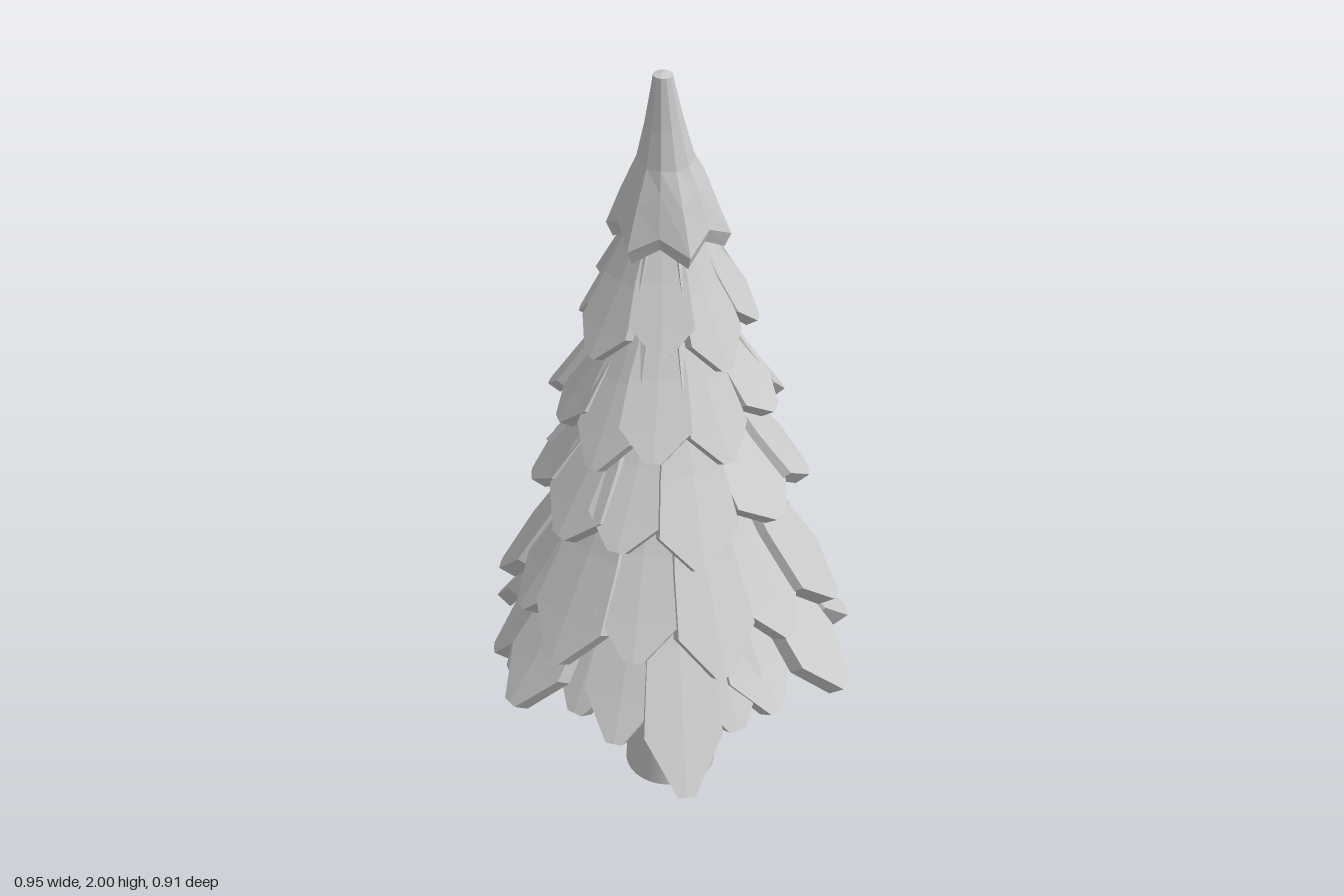
import * as THREE from 'three';

const flat = new THREE.MeshStandardMaterial({ color: 0xcccccc, flatShading: true, side: THREE.DoubleSide });
const smooth = new THREE.MeshStandardMaterial({ color: 0xcccccc, side: THREE.DoubleSide });

// Small seeded generator, returns -1..1
let seed = 7;
function jitter() {
  seed = (seed * 16807) % 2147483647;
  return (seed / 2147483647) * 2 - 1;
}

// Outline of one leaf: [position along the leaf, share of full half width]
const OUTLINE = [[0, 0.42], [0.45, 0.8], [0.78, 1], [1, 0.22]];

// Thick, slightly folded leaf that runs from (r0, y0) down and out to (r1, y1)
function leafGeometry({ angle, r0, y0, r1, y1, width, thick, skew }) {
  const R = new THREE.Vector3(Math.sin(angle), 0, Math.cos(angle));
  const T = new THREE.Vector3(Math.cos(angle), 0, -Math.sin(angle));
  const len = Math.hypot(r1 - r0, y1 - y0);
  const nr = (y0 - y1) / len, ny = (r1 - r0) / len;
  const pos = [], index = [];
  OUTLINE.forEach(([s, share]) => {
    const w = width * share, shift = skew * s * s;
    const r = r0 + (r1 - r0) * Math.pow(s, 1.1), y = y0 + (y1 - y0) * s;
    const t = thick * (0.5 + 0.5 * s);
    // loop: outer left, middle, right, then inner right, middle, left
    for (const [u, d] of [[-1, 0], [0, 0], [1, 0], [1, 1], [0, 1], [-1, 1]]) {
      const depth = -d * t - Math.abs(u) * w * 0.06;
      const p = R.clone().multiplyScalar(r + nr * depth).addScaledVector(T, u * w + shift);
      pos.push(p.x, y + ny * depth, p.z);
    }
  });
  const last = (OUTLINE.length - 1) * 6;
  for (let i = 0; i < last; i += 6) {
    for (let j = 0; j < 6; j++) {
      const k = (j + 1) % 6;
      index.push(i + 6 + j, i + 6 + k, i + k, i + 6 + j, i + k, i + j);
    }
  }
  for (const [a, b, c, d] of [[0, 1, 4, 5], [1, 2, 3, 4]]) {
    index.push(a, b, c, a, c, d);
    index.push(last + a, last + c, last + b, last + a, last + d, last + c);
  }
  const g = new THREE.BufferGeometry();
  g.setAttribute('position', new THREE.Float32BufferAttribute(pos, 3));
  g.setIndex(index);
  const out = g.toNonIndexed();
  out.computeVertexNormals();
  return out;
}

function addLeaf(group, spec) {
  const mesh = new THREE.Mesh(leafGeometry(spec), flat);
  mesh.name = 'leaf';
  group.add(mesh);
}

// Tip positions of the bottom tier: [x, z, y]
const BOTTOM_TIPS = [
  [-0.105, 0.455, 0.42], [0.03, 0.39, 0.43], [0.165, 0.385, 0.4], [0.37, 0.355, 0.33],
  [0.37, 0.18, 0.42], [0.41, 0.07, 0.43], [0.47, -0.13, 0.42], [0.295, -0.36, 0.41],
  [0.19, -0.385, 0.4], [0.05, -0.455, 0.43], [-0.1, -0.43, 0.4], [-0.2, -0.4, 0.42],
  [-0.36, -0.33, 0.41], [-0.42, -0.17, 0.42], [-0.475, 0.1, 0.36], [-0.32, 0.29, 0.38],
  [-0.2, 0.365, 0.42],
];

// Upper tiers, from low to high
const TIERS = [
  { name: 'secondTier', n: 12, start: 0, r0: 0.16, y0: 1.02, r1: 0.412, y1: 0.59, width: 0.098, thick: 0.045 },
  { name: 'thirdTier', n: 10, start: -0.2, r0: 0.125, y0: 1.2, r1: 0.335, y1: 0.89, width: 0.094, thick: 0.04 },
  { name: 'fourthTier', n: 10, start: 0.02, r0: 0.1, y0: 1.42, r1: 0.29, y1: 1.1, width: 0.08, thick: 0.035 },
  { name: 'fifthTier', n: 8, start: -0.2, r0: 0.07, y0: 1.64, r1: 0.222, y1: 1.35, width: 0.074, thick: 0.03 },
];

// Flared shells behind the leaves: [top radius, top y, rim radius, rim y]
const SHELLS = [
  [0.135, 1.02, 0.17, 0.78], [0.115, 1.22, 0.19, 0.96],
  [0.085, 1.42, 0.145, 1.17], [0.055, 1.64, 0.105, 1.38],
];

// Hood profile [radius, y]: inside of the rim, rim, then up to the tip
const HOOD = [
  [0.065, 1.61], [0.128, 1.555], [0.143, 1.59], [0.105, 1.69], [0.066, 1.78],
  [0.045, 1.87], [0.028, 1.96], [0.022, 1.995], [0, 2],
];

export function createModel() {
  seed = 7;
  const tree = new THREE.Group();
  tree.name = 'tree';

  // Trunk, open at the bottom
  const trunk = new THREE.Mesh(new THREE.CylinderGeometry(0.085, 0.114, 1, 32, 1, true), smooth);
  trunk.name = 'trunk';
  trunk.position.set(0.01, 0.5, -0.005);
  tree.add(trunk);

  for (const [topR, topY, rimR, rimY] of SHELLS) {
    const shell = new THREE.Mesh(new THREE.CylinderGeometry(topR, rimR, topY - rimY, 20, 1, true), smooth);
    shell.name = 'innerShell';
    shell.position.y = (topY + rimY) / 2;
    tree.add(shell);
  }

  // Bottom tier
  const bottom = new THREE.Group();
  bottom.name = 'bottomTier';
  BOTTOM_TIPS.forEach(([x, z, y], i) => addLeaf(bottom, {
    angle: Math.atan2(x, z), r0: 0.165 - (i % 2) * 0.015, y0: 0.86, r1: Math.hypot(x, z), y1: y,
    width: 0.094, thick: 0.045, skew: jitter() * 0.01,
  }));
  tree.add(bottom);

  // Upper tiers: long outer leaves alternate with short ones tucked behind
  for (const t of TIERS) {
    const tier = new THREE.Group();
    tier.name = t.name;
    for (let i = 0; i < t.n; i++) {
      const tucked = i % 2;
      addLeaf(tier, {
        ...t,
        angle: t.start + (i / t.n) * Math.PI * 2 + jitter() * 0.06,
        r0: t.r0 * (1 - 0.1 * tucked),
        r1: t.r1 * (1 - 0.06 * tucked) + jitter() * 0.01,
        y1: t.y1 + 0.03 * tucked + jitter() * 0.02,
        width: t.width * (1 + jitter() * 0.1),
        skew: jitter() * t.width * 0.25,
      });
    }
    tree.add(tier);
  }

  // Pointed hood: scalloped into six lobes at the rim, leaning to the front right at the tip
  const hood = new THREE.LatheGeometry(HOOD.map(([r, y]) => new THREE.Vector2(r, y)), 12);
  const p = hood.attributes.position;
  for (let i = 0; i < p.count; i++) {
    const y = p.getY(i);
    const lean = Math.max(0, (y - 1.6) / 0.4);
    const notch = Math.floor(i / HOOD.length) % 2 && y < 1.7 ? 1 : 0;
    const scale = 1 - 0.17 * notch;
    p.setXYZ(i, p.getX(i) * scale + 0.016 * lean, y + 0.04 * notch, p.getZ(i) * scale - 0.008 + 0.038 * lean);
  }
  hood.computeVertexNormals();
  const top = new THREE.Mesh(hood, flat);
  top.name = 'treeTop';
  tree.add(top);

  return tree;
}
